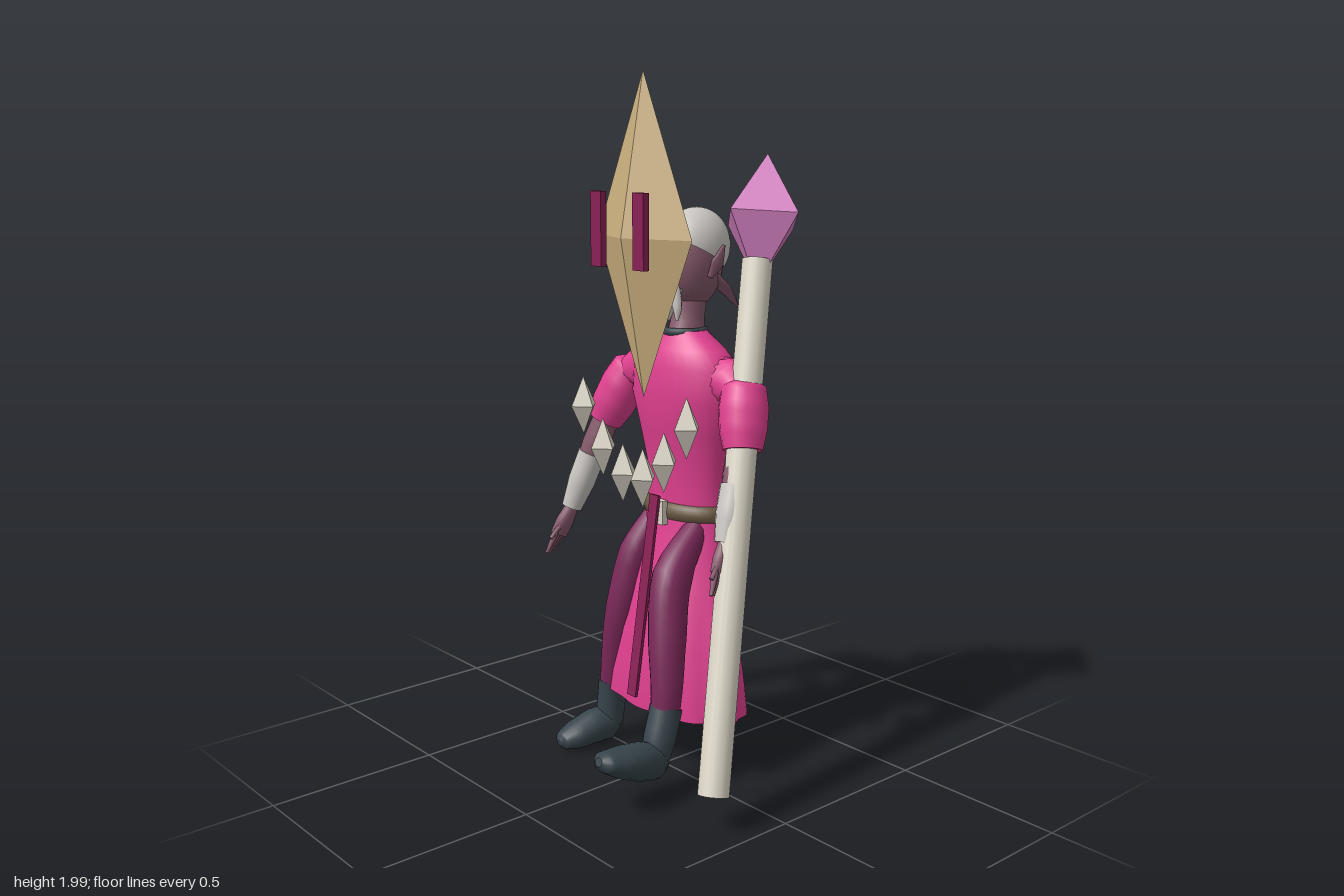
import * as THREE from 'three';

const V3 = (x, y, z) => new THREE.Vector3(x, y, z);
const mat = (name, color) => {
  const m = new THREE.MeshStandardMaterial({ color });
  m.name = name;
  return m;
};

// Skin a list of rings; optional closed ends
function loft(rings, capStart = true, capEnd = true) {
  const n = rings[0].length, pos = [], idx = [];
  rings.forEach(r => r.forEach(p => pos.push(p.x, p.y, p.z)));
  for (let i = 0; i < rings.length - 1; i++) for (let j = 0; j < n; j++) {
    const a = i * n + j, b = i * n + (j + 1) % n;
    idx.push(a, b, a + n, b, b + n, a + n);
  }
  const cap = (ring, start, flip) => {
    const c = ring.reduce((s, p) => s.add(p), V3(0, 0, 0)).divideScalar(n);
    const base = pos.length / 3;
    ring.forEach(p => pos.push(p.x, p.y, p.z));
    pos.push(c.x, c.y, c.z);
    for (let j = 0; j < n; j++) {
      const a = base + j, b = base + (j + 1) % n;
      if (flip) idx.push(b, a, base + n); else idx.push(a, b, base + n);
    }
  };
  if (capStart) cap(rings[0], 0, true);
  if (capEnd) cap(rings[rings.length - 1], 0, false);
  const g = new THREE.BufferGeometry();
  g.setAttribute('position', new THREE.Float32BufferAttribute(pos, 3));
  g.setIndex(idx);
  g.computeVertexNormals();
  return g;
}

// Horizontal ellipse rings: [y, cx, cz, rx, rz, fold]
const stack = (rows, n = 32) => rows.map(([y, cx, cz, rx, rz, fold = 0]) =>
  Array.from({ length: n }, (_, j) => {
    const a = j / n * Math.PI * 2, k = 1 + fold * Math.cos(9 * a);
    return V3(cx + rx * k * Math.sin(a), y, cz + rz * k * Math.cos(a));
  }));

// Tapered limb through points [x, y, z, rSide, rDepth]
function limb(points, n = 14, steps = 4) {
  const curve = new THREE.CatmullRomCurve3(points.map(p => V3(p[0], p[1], p[2])));
  const count = (points.length - 1) * steps, rings = [];
  for (let i = 0; i <= count; i++) {
    const t = i / count, k = Math.min(Math.floor(i / steps), points.length - 2), f = i / steps - k;
    const rs = THREE.MathUtils.lerp(points[k][3], points[k + 1][3], f);
    const rd = THREE.MathUtils.lerp(points[k][4] ?? points[k][3], points[k + 1][4] ?? points[k + 1][3], f);
    const c = curve.getPoint(t), T = curve.getTangent(t);
    const side = V3(1, 0, 0).addScaledVector(T, -T.x).normalize();
    const depth = side.clone().cross(T);
    rings.push(Array.from({ length: n }, (_, j) => {
      const a = j / n * Math.PI * 2;
      return c.clone().addScaledVector(depth, Math.cos(a) * rd).addScaledVector(side, Math.sin(a) * rs);
    }));
  }
  return loft(rings);
}

export function createModel() {
  const root = new THREE.Group();
  root.name = 'maskedMystic';
  const pink = mat('robe pink', 0xe0408f), plum = mat('trouser plum', 0x7a2858);
  const wine = mat('wine red', 0x8a2156), gold = mat('mask tan', 0xc9ae7e);
  const bone = mat('bone', 0xdbd5c6), orchid = mat('crystal orchid', 0xd27fbf);
  const slate = mat('boot slate', 0x37444b), leather = mat('belt brown', 0x6a5842);
  const skin = mat('skin mauve', 0x85596a), ash = mat('ash white', 0xc9c5c1);
  pink.side = skin.side = THREE.DoubleSide;

  const add = (name, geo, m, x = 0, y = 0, z = 0, parent = root) => {
    const mesh = new THREE.Mesh(geo, m);
    mesh.name = name;
    mesh.position.set(x, y, z);
    parent.add(mesh);
    return mesh;
  };
  const group = name => {
    const g = new THREE.Group();
    g.name = name;
    root.add(g);
    return g;
  };
  const diamond = (sx, sy, sz) => new THREE.OctahedronGeometry(1).scale(sx, sy, sz);

  // Floating mask with two eye slots
  add('mask', diamond(0.2, 0.445, 0.08), gold, -0.042, 1.555, 0.04);
  for (const x of [-0.132, 0.048]) add('maskEye', new THREE.BoxGeometry(0.045, 0.205, 0.02), wine, x, 1.577, 0.125);

  // Floating arc of shards
  for (const [x, y] of [[-0.267, 1.06], [-0.177, 0.95], [-0.087, 0.89], [0, 0.89], [0.09, 0.95], [0.183, 1.06]])
    add('shard', diamond(0.044, 0.085, 0.044), bone, x, y, 0.08);

  // Staff and its crystal
  const foot = V3(0.407, 0.115, 0.18), tip = V3(0.15, 1.49, -0.21);
  const axis = tip.clone().sub(foot), length = axis.length();
  const turn = new THREE.Quaternion().setFromUnitVectors(V3(0, 1, 0), axis.normalize());
  const mid = foot.clone().add(tip).multiplyScalar(0.5);
  add('staff', new THREE.CylinderGeometry(0.043, 0.043, length, 20), bone, mid.x, mid.y, mid.z).quaternion.copy(turn);
  add('staffCrystal', diamond(0.137, 0.188, 0.125), orchid, 0.127, 1.6, -0.25).quaternion.copy(turn);

  // Torso, skirt, belt
  add('torso', loft(stack([
    [0.72, -0.04, -0.125, 0.148, 0.09], [0.86, -0.04, -0.125, 0.14, 0.085], [1.0, -0.04, -0.12, 0.168, 0.105],
    [1.1, -0.04, -0.115, 0.194, 0.115], [1.19, -0.04, -0.115, 0.192, 0.107], [1.24, -0.04, -0.11, 0.15, 0.085],
    [1.29, -0.04, -0.11, 0.075, 0.052]])), pink);
  add('skirt', loft(stack([
    [0.19, -0.045, -0.075, 0.272, 0.137, 0.035], [0.26, -0.045, -0.075, 0.262, 0.137, 0.03],
    [0.4, -0.04, -0.082, 0.226, 0.13, 0.02], [0.55, -0.04, -0.1, 0.188, 0.115, 0.01],
    [0.68, -0.04, -0.12, 0.16, 0.1], [0.77, -0.04, -0.125, 0.15, 0.095]], 72), false, false), pink);
  add('belt', loft(stack([
    [0.743, -0.042, -0.125, 0.145, 0.088], [0.75, -0.042, -0.125, 0.157, 0.1], [0.768, -0.042, -0.125, 0.161, 0.104],
    [0.787, -0.042, -0.125, 0.157, 0.1], [0.795, -0.042, -0.125, 0.145, 0.088]])), leather);
  add('buckle', new THREE.BoxGeometry(0.055, 0.07, 0.02), bone, -0.045, 0.768, -0.018);
  add('sash', new THREE.BoxGeometry(0.037, 0.595, 0.009), wine, -0.045, 0.525, 0.04).rotation.x = -0.15;

  // Legs and boots
  add('rightLeg', limb([[-0.135, 0.74, -0.09, 0.035], [-0.16, 0.62, -0.035, 0.052, 0.06], [-0.182, 0.45, 0.005, 0.05, 0.055],
    [-0.21, 0.3, 0.015, 0.042], [-0.233, 0.15, 0.01, 0.036]]), plum);
  add('leftLeg', limb([[0.05, 0.74, -0.09, 0.035], [0.07, 0.61, 0.03, 0.055, 0.062], [0.105, 0.45, 0.08, 0.055],
    [0.132, 0.32, 0.105, 0.046], [0.142, 0.19, 0.125, 0.038]]), plum);
  const boot = (name, shaft, sole) => {
    const g = group(name);
    add('bootShaft', limb(shaft), slate, 0, 0, 0, g);
    add('bootFoot', limb(sole, 16), slate, 0, 0, 0, g);
  };
  boot('rightBoot', [[-0.228, 0.21, 0.01, 0.043], [-0.237, 0.13, 0.01, 0.044], [-0.24, 0.07, 0.015, 0.042]],
    [[-0.238, 0.062, -0.02, 0.02, 0.025], [-0.242, 0.066, 0.015, 0.045, 0.054], [-0.252, 0.063, 0.07, 0.053, 0.053],
      [-0.258, 0.05, 0.135, 0.052, 0.04], [-0.262, 0.042, 0.178, 0.033, 0.026], [-0.262, 0.04, 0.19, 0.01, 0.01]]);
  boot('leftBoot', [[0.135, 0.26, 0.11, 0.047], [0.142, 0.18, 0.14, 0.047], [0.145, 0.125, 0.16, 0.042]],
    [[0.143, 0.1, 0.125, 0.02, 0.025], [0.146, 0.115, 0.16, 0.047, 0.052], [0.15, 0.135, 0.225, 0.055, 0.055],
      [0.153, 0.155, 0.295, 0.058, 0.043], [0.157, 0.173, 0.35, 0.042, 0.028], [0.158, 0.18, 0.37, 0.014, 0.012]]);

  // Arms: sleeve, forearm, bracer, hand with fingers
  const arm = (name, s, e, w, h, bulge) => {
    const g = group(name);
    const at = (a, b, t, r) => [0, 1, 2].map(i => a[i] + (b[i] - a[i]) * t).concat(r);
    add('sleeve', limb([at(s, e, -0.25, 0.025), at(s, e, -0.08, 0.062), at(s, e, 0.3, bulge),
      at(s, e, 0.7, bulge * 0.95), at(s, e, 1.05, 0.055)]), pink, 0, 0, 0, g);
    add('forearm', limb([at(s, e, 0.8, 0.04), at(e, w, 0.3, 0.042), at(e, w, 1, 0.024)]), skin, 0, 0, 0, g);
    add('bracer', limb([at(e, w, 0.4, 0.043), at(e, w, 0.7, 0.042), at(e, w, 1, 0.031)]), ash, 0, 0, 0, g);
    add('palm', limb([at(w, h, -0.05, 0.02), at(w, h, 0.3, [0.021, 0.03]), at(w, h, 0.58, [0.015, 0.03])]), skin, 0, 0, 0, g);
    for (let i = 0; i < 4; i++) {
      const d = (i - 1.5) * 0.016, a = at(w, h, 0.5, 0.009), b = at(w, h, 0.97 - 0.04 * Math.abs(i - 1.5), 0.005);
      a[2] += d; b[2] += d * 1.3; a[0] += d * 0.4; b[0] += d * 0.8;
      add('finger', limb([a, at(a, b, 0.5, 0.008), b], 8), skin, 0, 0, 0, g);
    }
    const k = at(w, h, 0.2, 0.01), tEnd = at(w, h, 0.6, 0.006);
    tEnd[2] += 0.04; tEnd[0] += 0.015;
    add('thumb', limb([k, tEnd], 8), skin, 0, 0, 0, g);
  };
  arm('rightArm', [-0.285, 1.14, -0.115], [-0.345, 0.995, -0.065], [-0.41, 0.715, 0.02], [-0.442, 0.57, 0.085], 0.07);
  arm('leftArm', [0.2, 1.14, -0.115], [0.24, 0.995, -0.075], [0.275, 0.75, 0.02], [0.3, 0.62, 0.085], 0.07);

  // Shoulder bridges
  for (const s of [-1, 1]) add('shoulder', limb([[-0.04 + s * 0.12, 1.16, -0.12, 0.07], [-0.04 + s * 0.19, 1.155, -0.12, 0.068, 0.06],
    [-0.04 + s * 0.25, 1.13, -0.115, 0.04, 0.06]]), pink);

  // Neck, head, skull cap, ears, whiskers
  add('neck', limb([[-0.04, 1.25, -0.11, 0.058], [-0.04, 1.33, -0.125, 0.047], [-0.04, 1.46, -0.14, 0.05]]), skin);
  add('collar', new THREE.TorusGeometry(0.055, 0.012, 8, 24).rotateX(Math.PI / 2), slate, -0.04, 1.285, -0.112);
  add('head', new THREE.SphereGeometry(1, 28, 20).scale(0.084, 0.135, 0.094), skin, -0.04, 1.482, -0.137);
  const cap = add('skullCap', new THREE.SphereGeometry(1, 32, 20, 0, Math.PI * 2, 0, Math.PI * 0.56).scale(0.093, 0.115, 0.107),
    ash, -0.04, 1.518, -0.147);
  cap.rotation.x = -0.5;
  add('nose', limb([[-0.04, 1.5, -0.055, 0.01], [-0.04, 1.455, -0.03, 0.018], [-0.04, 1.44, -0.045, 0.01]], 8), skin);
  for (const s of [-1, 1]) {
    const x = d => -0.04 + s * d;
    add('ear', limb([[x(0.083), 1.44, -0.13, 0.008], [x(0.094), 1.48, -0.148, 0.011, 0.024], [x(0.103), 1.53, -0.165, 0.004]], 8), skin);
    add('whisker', limb([[x(0.012), 1.425, -0.04, 0.012], [x(0.04), 1.41, -0.035, 0.018], [x(0.06), 1.36, -0.03, 0.013],
      [x(0.064), 1.325, -0.025, 0.004]], 10), ash);
    add('brow', limb([[x(0.012), 1.515, -0.045, 0.008], [x(0.062), 1.525, -0.072, 0.006]], 8), ash);
    // Pointed flaps at the nape
    add('napeFlap', limb([[x(0.04), 1.45, -0.165, 0.035, 0.01], [x(0.06), 1.4, -0.21, 0.032, 0.008],
      [x(0.068), 1.35, -0.252, 0.006, 0.003]], 10), skin);
  }
  add('beard', limb([[-0.04, 1.41, -0.06, 0.04, 0.025], [-0.04, 1.37, -0.05, 0.03, 0.025], [-0.04, 1.32, -0.045, 0.008]], 12), ash);
  return root;
}
